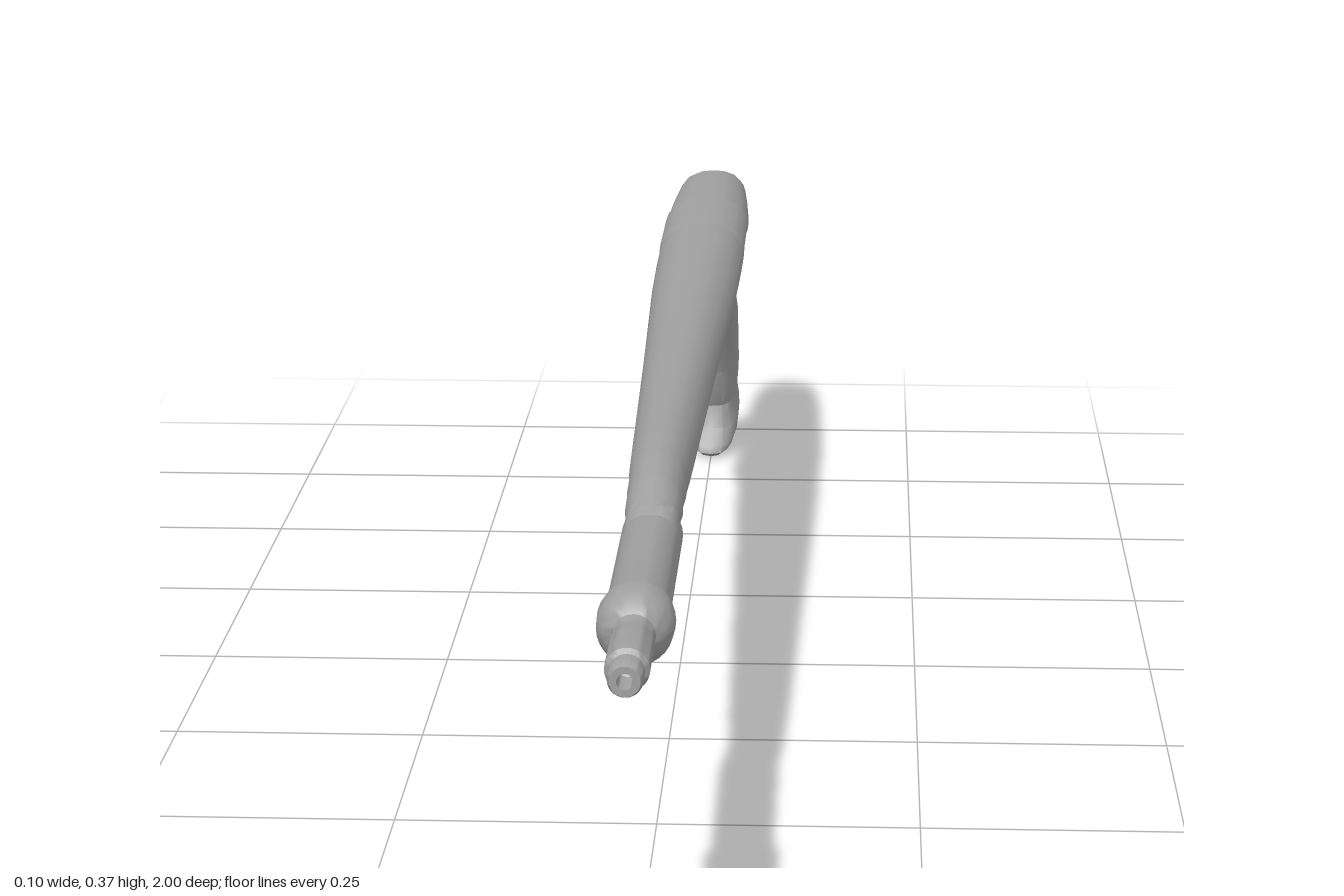
import * as THREE from 'three';
import { mergeVertices, toCreasedNormals } from 'three/addons/utils/BufferGeometryUtils.js';

const AXIS_Y = 0.305; // height of the barrel axis

// Skin over a list of closed rings (arrays of [x, y, z]) with capped ends.
function loft(rings, crease = 0.6) {
  const n = rings[0].length, pos = rings.flat(2), idx = [];
  const at = (i, j) => i * n + (j % n);
  for (let i = 0; i < rings.length - 1; i++)
    for (let j = 0; j < n; j++)
      idx.push(at(i, j), at(i, j + 1), at(i + 1, j), at(i, j + 1), at(i + 1, j + 1), at(i + 1, j));
  [0, rings.length - 1].forEach((r) => {
    const c = pos.length / 3;
    for (let k = 0; k < 3; k++) pos.push(rings[r].reduce((s, p) => s + p[k], 0) / n);
    for (let j = 0; j < n; j++)
      idx.push(c, ...(r === 0 ? [at(r, j + 1), at(r, j)] : [at(r, j), at(r, j + 1)]));
  });
  // turn the skin outwards if the rings run the other way
  let vol = 0;
  const v = (i) => new THREE.Vector3().fromArray(pos, idx[i] * 3);
  for (let i = 0; i < idx.length; i += 3) vol += v(i).dot(v(i + 1).cross(v(i + 2)));
  if (vol < 0) idx.reverse();
  const g = new THREE.BufferGeometry();
  g.setAttribute('position', new THREE.Float32BufferAttribute(pos, 3));
  g.setIndex(idx);
  return toCreasedNormals(mergeVertices(g), crease);
}

// Linear lookup in a table of [key, value...] rows with falling keys.
function lookup(table, z) {
  let i = 0;
  while (i < table.length - 2 && z < table[i + 1][0]) i++;
  const a = table[i], b = table[i + 1];
  const t = THREE.MathUtils.clamp((a[0] - z) / (a[0] - b[0]), 0, 1);
  return a.slice(1).map((x, k) => x + (b[k + 1] - x) * t);
}

function bodyGeometry() {
  // z, half width, bottom, top
  const stations = [
    [0.6, 0.024, 0.286, 0.333], [0.57, 0.026, 0.272, 0.342], [0.53, 0.027, 0.266, 0.352],
    [0.47, 0.028, 0.264, 0.359], [0.4, 0.03, 0.264, 0.361], [0, 0.039, 0.264, 0.363],
    [-0.35, 0.048, 0.263, 0.365], [-0.5, 0.05, 0.263, 0.365], [-0.56, 0.05, 0.263, 0.365],
    [-0.57, 0.05, 0.28, 0.365], [-0.72, 0.05, 0.28, 0.365], [-0.73, 0.05, 0.262, 0.365],
    [-0.8, 0.048, 0.262, 0.365], [-0.86, 0.045, 0.268, 0.364], [-0.92, 0.041, 0.288, 0.358],
    [-0.96, 0.035, 0.302, 0.351], [-0.978, 0.03, 0.309, 0.346], [-0.985, 0.024, 0.314, 0.341],
  ];
  // half section: width fraction, height fraction
  const half = [[0, 0], [0.42, 0], [0.55, 0.08], [0.78, 0.34], [0.98, 0.57], [1, 0.63],
    [0.94, 0.74], [0.75, 0.88], [0.4, 0.975], [0, 1]];
  const section = [...half, ...half.slice(1, -1).reverse().map(([x, y]) => [-x, y])];
  const rings = [];
  for (let i = 0; i <= 317; i++) {
    const z = 0.6 - i * 0.005;
    if (z < 0.38 && z > -0.54 && i % 8) continue;
    const [w, y0, y1] = lookup(stations, z);
    rings.push(section.map(([sx, sy]) => {
      let x = sx * w, y = y0 + sy * (y1 - y0);
      // slanted finger ridges under the nose
      const p = z - 0.7 * (y - 0.3);
      if (p > 0.42 && p < 0.58 && sy < 0.7) {
        const k = 1 - 0.15 * (1 - Math.cos(((p - 0.42) / 0.0533) * Math.PI * 2)) * (1 - sy / 0.8);
        x *= k;
        y = AXIS_Y + (y - AXIS_Y) * k;
      }
      return [x, y, z];
    }));
  }
  return loft(rings, 0.7);
}

function gripGeometry() {
  // front z, front y, back z, back y, half width
  const rows = [
    [-0.735, 0.285, -0.925, 0.295, 0.024], [-0.75, 0.258, -0.895, 0.266, 0.025],
    [-0.762, 0.245, -0.883, 0.25, 0.033], [-0.785, 0.215, -0.886, 0.225, 0.031],
    [-0.806, 0.193, -0.901, 0.2, 0.034], [-0.815, 0.175, -0.915, 0.18, 0.034],
    [-0.832, 0.155, -0.925, 0.165, 0.034], [-0.839, 0.135, -0.935, 0.15, 0.034],
    [-0.857, 0.11, -0.95, 0.13, 0.034], [-0.86, 0.09, -0.962, 0.113, 0.033],
    [-0.873, 0.063, -0.978, 0.092, 0.031], [-0.866, 0.035, -0.994, 0.072, 0.034],
    [-0.85, 0.014, -1.0, 0.066, 0.033], [-0.848, 0.006, -0.994, 0.06, 0.03],
    [-0.86, 0, -0.985, 0.054, 0.022],
  ];
  return loft(rows.map(([fz, fy, bz, by, w]) => Array.from({ length: 20 }, (_, j) => {
    const a = (j / 20) * Math.PI * 2, c = Math.cos(a), s = Math.sin(a);
    const t = 0.5 - 0.5 * Math.sign(c) * Math.abs(c) ** 0.8;
    return [w * Math.sign(s) * Math.abs(s) ** 0.7, fy + (by - fy) * t, fz + (bz - fz) * t];
  })));
}

// Flattened bar along a curve in the x = 0 plane; points are [z, y, thickness, half width].
function barGeometry(points) {
  const curve = new THREE.CatmullRomCurve3(points.map(([z, y]) => new THREE.Vector3(0, y, z)));
  const steps = 28, rings = [];
  for (let i = 0; i <= steps; i++) {
    const u = i / steps, c = curve.getPoint(u), d = curve.getTangent(u);
    const f = u * (points.length - 1), k = Math.min(Math.floor(f), points.length - 2);
    const mix = (m) => points[k][m] + (points[k + 1][m] - points[k][m]) * (f - k);
    rings.push(Array.from({ length: 14 }, (_, j) => {
      const a = (j / 14) * Math.PI * 2, h = (Math.sin(a) * mix(2)) / 2;
      return [Math.cos(a) * mix(3), c.y + h * d.z, c.z - h * d.y];
    }));
  }
  return loft(rings, 0.8);
}

function barrelGeometry() {
  // radius, z from the open muzzle back to the body
  const profile = [[0, 0.96], [0.007, 0.965], [0.007, 1], [0.013, 1], [0.015, 0.995],
    [0.015, 0.972], [0.019, 0.968], [0.019, 0.895], [0.017, 0.888], [0.019, 0.875],
    [0.027, 0.868], [0.033, 0.855], [0.034, 0.83], [0.032, 0.815], [0.028, 0.8],
    [0.028, 0.565], [0.024, 0.54], [0, 0.5]];
  const g = new THREE.LatheGeometry(profile.map(([r, z]) => new THREE.Vector2(r, z)).reverse(), 28);
  g.rotateX(Math.PI / 2).translate(0, AXIS_Y, 0);
  return toCreasedNormals(g, 0.6);
}

export function createModel() {
  const group = new THREE.Group();
  const grey = new THREE.MeshStandardMaterial({ color: 0xa0a0a0 });
  grey.name = 'grey';
  const add = (name, geometry) => {
    const mesh = new THREE.Mesh(geometry, grey);
    mesh.name = name;
    group.add(mesh);
  };
  add('body', bodyGeometry());
  add('barrel', barrelGeometry());
  add('grip', gripGeometry());
  add('triggerGuard', barGeometry([
    [-0.525, 0.275, 0.024, 0.02], [-0.55, 0.245, 0.024, 0.02], [-0.585, 0.202, 0.02, 0.019],
    [-0.65, 0.181, 0.02, 0.018], [-0.71, 0.194, 0.022, 0.018], [-0.75, 0.222, 0.028, 0.019],
    [-0.79, 0.235, 0.04, 0.022],
  ]));
  add('trigger', barGeometry([
    [-0.695, 0.295, 0.034, 0.009], [-0.7, 0.255, 0.03, 0.009],
    [-0.692, 0.225, 0.022, 0.009], [-0.668, 0.203, 0.01, 0.007],
  ]));
  return group;
}
